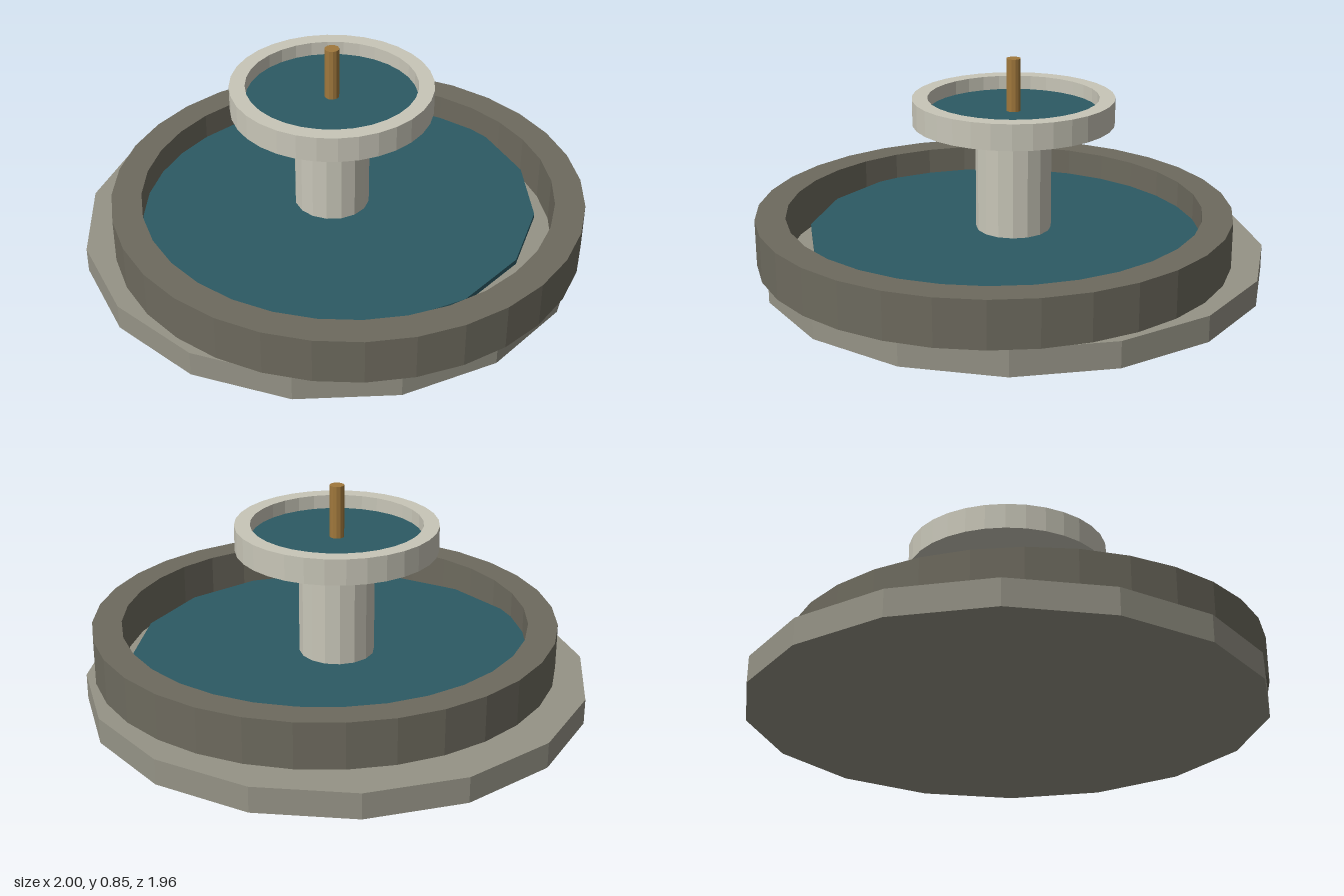
import * as THREE from 'three';

const mat = (name, color) => {
  const m = new THREE.MeshStandardMaterial({ color });
  m.name = name;
  return m;
};

// Faceted normals
const flat = (geometry) => {
  const g = geometry.toNonIndexed();
  g.computeVertexNormals();
  return g;
};

export function createModel() {
  const group = new THREE.Group();
  const paving = mat('pale grey stone', 0x959386);
  const basinStone = mat('dark grey stone', 0x6d6a5e);
  const cream = mat('cream stone', 0xc8c6b8);
  const water = mat('water', 0x2c5a64);
  const brass = mat('brass', 0xa0783c);

  const AXIS = -0.02; // centre line of everything but the basin wall

  const add = (name, geometry, material, x) => {
    const mesh = new THREE.Mesh(flat(geometry), material);
    mesh.name = name;
    mesh.position.x = x;
    group.add(mesh);
  };

  // Upright cylinder from y0 to y1
  const cylinder = (name, r, y0, y1, sides, material) =>
    add(name, new THREE.CylinderGeometry(r, r, y1 - y0, sides).translate(0, (y0 + y1) / 2, 0), material, AXIS);

  // Turned shape from an anticlockwise [radius, height] profile
  const turned = (name, profile, sides, material, x) =>
    add(name, new THREE.LatheGeometry(profile.map(([r, y]) => new THREE.Vector2(r, y)), sides), material, x);

  // Base and lower pool
  cylinder('base', 0.98, 0, 0.1, 16, paving);
  turned('basinWall', [[0.8, 0.1], [0.915, 0.1], [0.915, 0.28], [0.8, 0.28], [0.8, 0.1]], 32, basinStone, 0.0825);
  cylinder('poolWater', 0.8, 0.155, 0.175, 16, water);

  // Pedestal and upper bowl
  cylinder('pedestal', 0.147, 0.1, 0.61, 16, cream);
  turned('upperBowl', [[0.001, 0.6], [0.39, 0.6], [0.39, 0.7], [0.33, 0.7], [0.33, 0.62], [0.001, 0.62]], 32, cream, AXIS);
  cylinder('bowlWater', 0.33, 0.625, 0.645, 32, water);

  // Water spout
  cylinder('spout', 0.028, 0.62, 0.85, 12, brass);

  return group;
}
